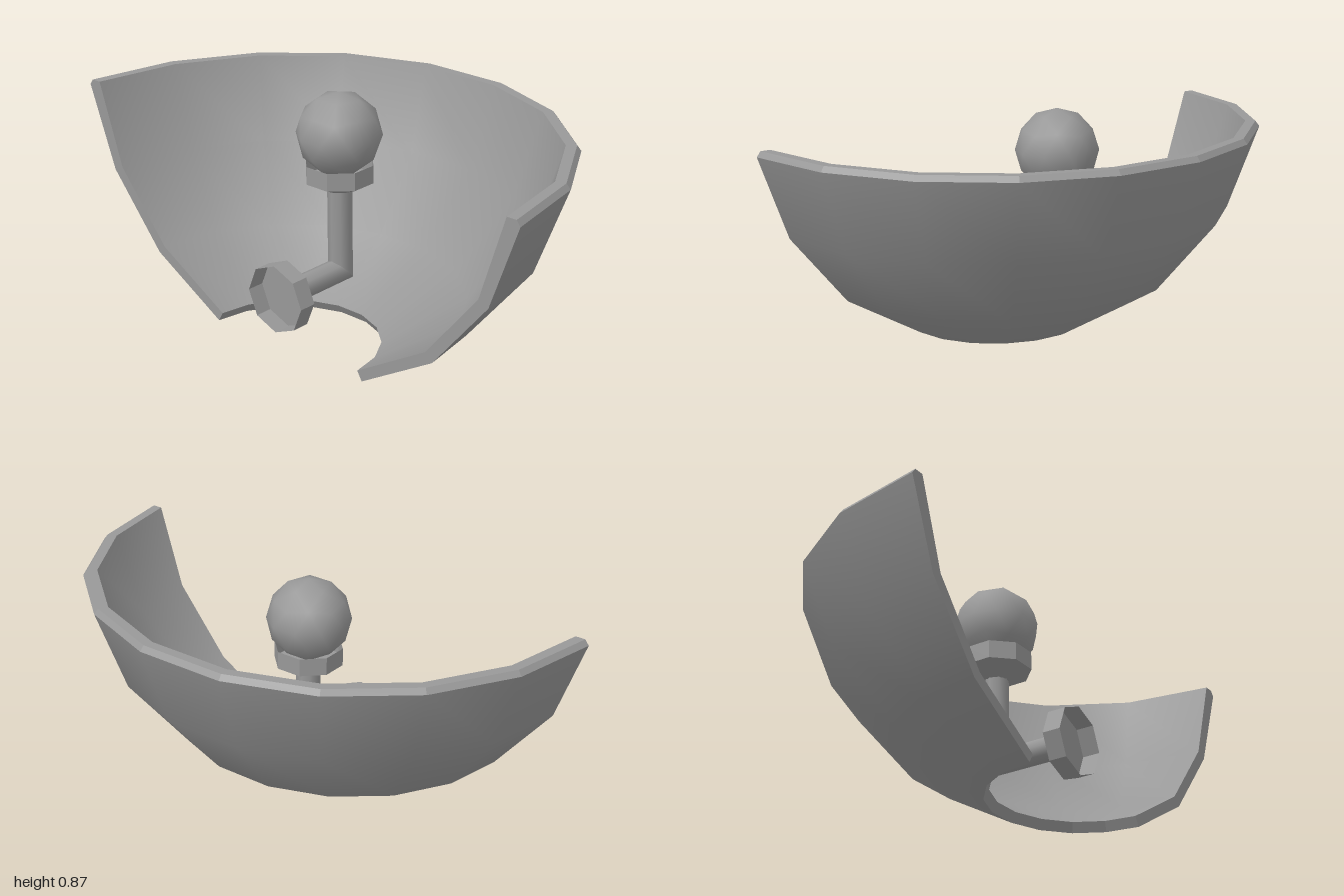
import * as THREE from 'three';
import { toCreasedNormals } from 'three/addons/utils/BufferGeometryUtils.js';

const WALL_X = -0.49;                  // plane of the cut side of the bowl
const AXIS = { x: -0.16, y: 0.184, z: -0.05 }; // elbow of the lamp arm
const PIPE_R = 0.045;

const v2 = (list) => list.map(([x, y]) => new THREE.Vector2(x, y));

export function createModel() {
  const root = new THREE.Group();
  const material = new THREE.MeshStandardMaterial({ color: 0x989898 });
  const thin = new THREE.MeshStandardMaterial({ color: 0x989898, side: THREE.DoubleSide });

  const add = (parent, name, geometry, mat = material) => {
    const mesh = new THREE.Mesh(geometry, mat);
    mesh.name = name;
    parent.add(mesh);
    return mesh;
  };

  // Half bowl shade: a closed wall section swept through 180 degrees
  const shade = new THREE.Group();
  shade.name = 'shade';
  shade.position.x = WALL_X;
  root.add(shade);
  const section = [
    [0.35, 0], [0.66, 0.18], [0.886, 0.452], [1, 0.763], [0.985, 0.783],
    [0.947, 0.783], [0.845, 0.47], [0.63, 0.21], [0.33, 0.035],
  ];
  const sweep = (points) => new THREE.LatheGeometry(v2(points), 9, 0, Math.PI);
  add(shade, 'outerBowl', sweep(section.slice(0, 4)));
  add(shade, 'innerBowl', sweep(section.slice(5)));
  // Faceted edges joining the two smooth walls
  add(shade, 'rim', toCreasedNormals(sweep(section.slice(3, 6)), 0.1));
  add(shade, 'bottomEdge', toCreasedNormals(sweep([section[8], section[0]]), 0.1));

  // Flat ends where the bowl meets the wall
  for (const side of [1, -1]) {
    const shape = new THREE.Shape(v2(section.map(([r, y]) => [side * r, y])));
    add(shade, side > 0 ? 'frontEnd' : 'backEnd', new THREE.ShapeGeometry(shape).rotateY(-Math.PI / 2));
  }

  // Arm: two pipes mitred together at the elbow
  const pipe = (length) =>
    new THREE.CylinderGeometry(PIPE_R, PIPE_R, length, 8, 1, true).translate(0, length / 2, 0);
  const mitre = (geometry) => {
    const p = geometry.attributes.position;
    for (let i = 0; i < p.count; i++) {
      if (p.getY(i) < 0.001) p.setY(i, -p.getX(i));
    }
    return geometry;
  };
  const arm = new THREE.Group();
  arm.name = 'arm';
  arm.position.set(AXIS.x, AXIS.y, AXIS.z);
  root.add(arm);
  add(arm, 'uprightPipe', mitre(pipe(0.34)), thin);
  // Same mitre turned round and laid down towards the wall
  add(arm, 'wallPipe', mitre(pipe(0.25)).rotateY(Math.PI).rotateZ(Math.PI / 2), thin);

  // Octagonal cups with a flat floor: wall mount and bulb socket
  const cup = () => toCreasedNormals(
    new THREE.LatheGeometry(v2([[PIPE_R, 0], [0.128, 0.038], [0.128, 0.105]]), 8), 0.3);
  const floor = () => new THREE.CircleGeometry(0.127, 8).rotateX(-Math.PI / 2).translate(0, 0.04, 0);
  const fitting = (name) => {
    const group = new THREE.Group();
    group.name = name;
    add(group, 'cup', cup(), thin);
    add(group, 'floor', floor());
    root.add(group);
    return group;
  };
  const mount = fitting('wallMount');
  mount.position.set(-0.395, AXIS.y, AXIS.z);
  mount.rotation.z = Math.PI / 2;
  const socket = fitting('socket');
  socket.position.set(AXIS.x, 0.5, AXIS.z);
  socket.rotation.y = Math.PI / 8;

  // Bulb: smooth icosphere turned so a corner points straight up
  const tilt = Math.atan(2 / (1 + Math.sqrt(5)));
  const bulb = add(root, 'bulb', new THREE.IcosahedronGeometry(0.155, 1).rotateZ(-tilt));
  bulb.position.set(AXIS.x, 0.712, AXIS.z);

  return root;
}
